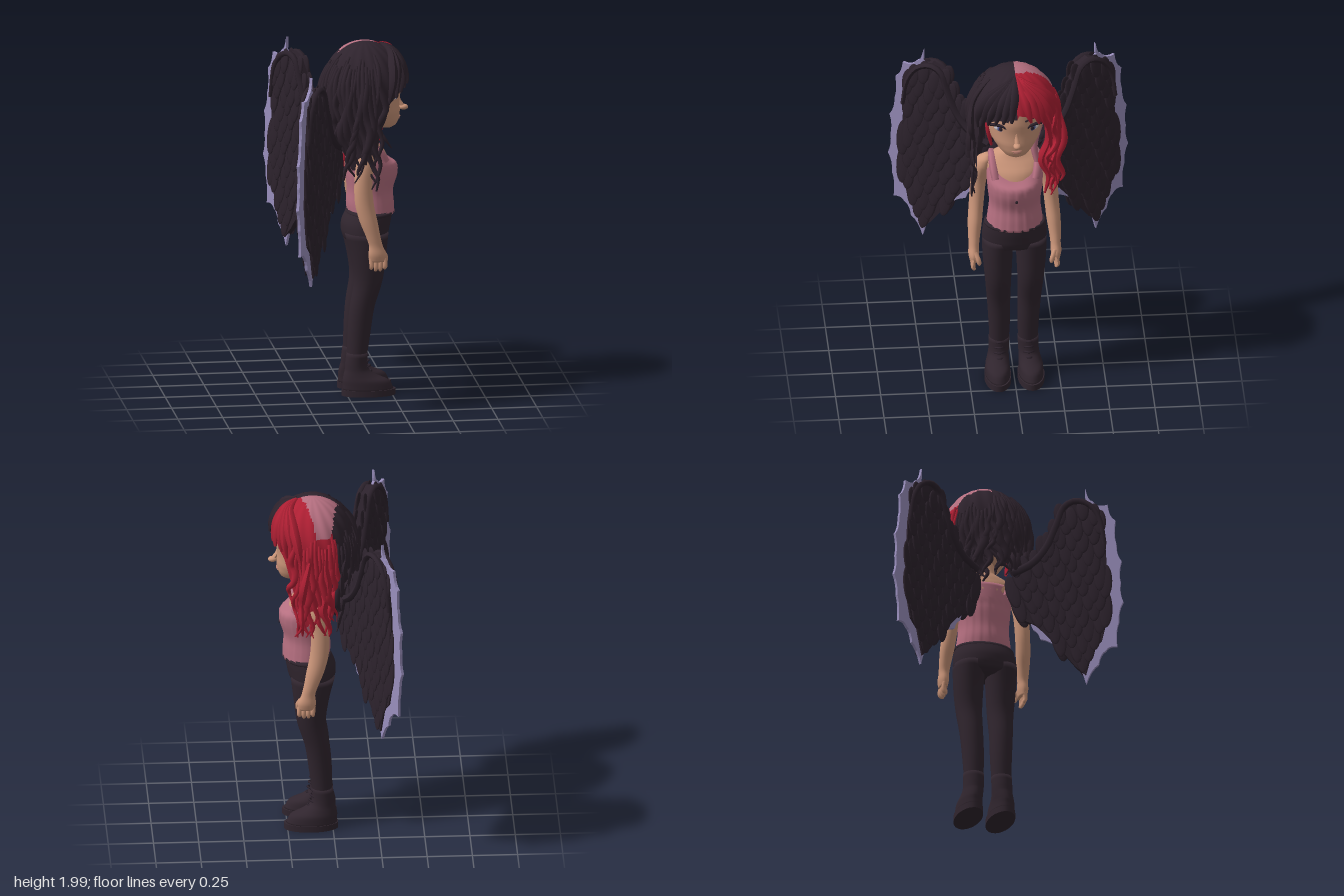
import * as THREE from 'three';
import { mergeGeometries } from 'three/addons/utils/BufferGeometryUtils.js';

const mat = (name, color, side = THREE.FrontSide) => {
  const m = new THREE.MeshStandardMaterial({ color, side });
  m.name = name;
  return m;
};
const V = (x, y, z) => new THREE.Vector3(x, y, z);
const rad = THREE.MathUtils.degToRad;

// Smooth closed tube of elliptical rings [y, cx, cz, rx, rz], listed upwards
function loft(rings, n = 24, sub = 4, rule) {
  const a = new THREE.CatmullRomCurve3(rings.map(r => V(r[0], r[1], r[2])));
  const b = new THREE.CatmullRomCurve3(rings.map(r => V(r[3], r[4], 0)));
  const rows = (rings.length - 1) * sub, pos = [], idx = [];
  for (let i = 0; i <= rows; i++) {
    const p = a.getPoint(i / rows), q = b.getPoint(i / rows);
    for (let j = 0; j < n; j++) {
      const t = j / n * Math.PI * 2;
      const v = V(p.y + q.x * Math.sin(t), p.x, p.z + q.y * Math.cos(t));
      if (rule) rule(v, i / rows, t);
      pos.push(v.x, v.y, v.z);
      const k = (j + 1) % n, A = i * n + j, B = i * n + k;
      if (i < rows) idx.push(A, B, A + n, B, B + n, A + n);
    }
  }
  const base = pos.length / 3, first = rings[0], last = rings[rings.length - 1];
  pos.push(first[1], first[0], first[2], last[1], last[0], last[2]);
  for (let j = 0; j < n; j++) {
    const k = (j + 1) % n;
    idx.push(base, k, j, base + 1, rows * n + j, rows * n + k);
  }
  return fromArrays(pos, idx);
}

function fromArrays(pos, idx) {
  const g = new THREE.BufferGeometry();
  g.setAttribute('position', new THREE.Float32BufferAttribute(pos, 3));
  g.setIndex(idx);
  g.computeVertexNormals();
  return g;
}

// Tube along points, its radius following a taper rule
function strand(pts, r, taper = t => 1, seg = 18, sides = 6) {
  const c = new THREE.CatmullRomCurve3(pts), g = new THREE.TubeGeometry(c, seg, r, sides);
  const p = g.attributes.position, v = V();
  for (let i = 0; i < p.count; i++) {
    const t = Math.floor(i / (sides + 1)) / seg, o = c.getPointAt(t);
    v.fromBufferAttribute(p, i).sub(o).multiplyScalar(taper(t)).add(o);
    p.setXYZ(i, v.x, v.y, v.z);
  }
  g.computeVertexNormals();
  return g;
}
const blob = (x, y, z, sx, sy, sz, ry = 0) =>
  new THREE.SphereGeometry(1, 18, 12).scale(sx, sy, sz).rotateY(ry).translate(x, y, z);
const finger = t => Math.sqrt(Math.max(.02, 1 - Math.pow(t, 6)));

// Hair: lower edge by angle from the front (degrees, height), and a point on the hair volume
const darkEdge = [[0, 1.78], [30, 1.765], [48, 1.73], [62, 1.67], [74, 1.5], [80, 1.3], [100, 1.27], [125, 1.36], [180, 1.5]];
const redEdge = [[0, 1.81], [30, 1.77], [46, 1.68], [58, 1.52], [66, 1.33], [95, 1.27], [125, 1.34], [180, 1.5]];
function hairEnd(a) {
  const d = Math.abs(a) * 180 / Math.PI, edge = a > 0 ? redEdge : darkEdge;
  let i = 1;
  while (i < edge.length - 1 && edge[i][0] < d) i++;
  const [d0, y0] = edge[i - 1], [d1, y1] = edge[i];
  return y0 + (y1 - y0) * (d - d0) / (d1 - d0) + (d > 60 ? 0.03 * Math.sin(a * 13) : 0);
}
function hairPoint(a, y, off = 0) {
  const h = (y - 1.72) / 0.272;
  let k = h > 0 ? Math.sqrt(Math.max(0, 1 - h * h)) : 1 - 0.14 * Math.min(1, (1.72 - y) / 0.4);
  k *= 1 + 0.02 * Math.sin(a * 17 + y * 14);
  return V((0.24 * k + off) * Math.sin(a), y + off * Math.max(0, h) * 0.8, 0.11 + (0.235 * k + off) * Math.cos(a));
}
// Material index on the hair: 0 dark, 1 red, 2 pink crown
function hairColour(x, y, z) {
  if (x < 0) return 0;
  if (y > 1.82 && z > -0.035 + 0.25 * x && z < 0.175 - 0.35 * x) return 2;
  return z < -0.03 + 0.2 * x ? 0 : 1;
}
function hairShell() {
  const n = 120, rows = 40, pos = [], buckets = [[], [], []];
  for (let i = 0; i <= rows; i++) for (let j = 0; j <= n; j++) {
    const a = rad(j * 3 - 180), t = i / rows, end = hairEnd(a);
    const stop = Math.acos(Math.max(0, (end - 1.72) / 0.272));
    const y = t < 0.5 ? 1.72 + 0.272 * Math.cos(stop * t * 2)
      : THREE.MathUtils.lerp(Math.max(1.72, end), end, t * 2 - 1);
    pos.push(...hairPoint(a, y).toArray());
  }
  for (let i = 0; i < rows; i++) for (let j = 0; j < n; j++) {
    const A = i * (n + 1) + j, B = A + n + 1;
    const mid = [0, 1, 2].map(c => (pos[A * 3 + c] + pos[B * 3 + 3 + c]) / 2);
    buckets[hairColour(...mid)].push(A, B, A + 1, A + 1, B, B + 1);
  }
  const g = fromArrays(pos, buckets.flat());
  let start = 0;
  buckets.forEach((b, i) => { g.addGroup(start, b.length, i); start += b.length; });
  return g;
}

// Wing outlines: distance along the wing, height
const featherEdge = [[.02, 1.45], [.13, 1.49], [.2, 1.57], [.25, 1.7], [.3, 1.81], [.37, 1.84], [.45, 1.81], [.51, 1.73], [.54, 1.55],
  [.555, 1.3], [.55, 1.1], [.52, .97], [.47, .92], [.43, .77], [.37, .83], [.31, .91], [.22, 1.02], [.15, 1.1], [.04, 1.16]];
const liningEdge = [[.1, 1.35], [.2, 1.55], [.28, 1.74], [.37, 1.82], [.43, 1.84], [.425, 1.91], [.465, 1.83], [.55, 1.8], [.595, 1.7],
  [.6, 1.56], [.63, 1.45], [.625, 1.32], [.64, 1.2], [.615, 1.08], [.605, .93], [.54, .91], [.5, .83], [.43, .72], [.39, .84], [.28, .95],
  [.17, 1.02], [.13, 1.08], [.06, 1.2]];
function inside(x, y, poly) {
  let r = false;
  poly.forEach(([ax, ay], i) => {
    const [bx, by] = poly[(i + 1) % poly.length];
    if ((ay > y) !== (by > y) && x < ax + (bx - ax) * (y - ay) / (by - ay)) r = !r;
  });
  return r;
}
// Flat plate whose edge dips between its points by the scallop amount
function plate(poly, s, depth, scallop) {
  const shape = new THREE.Shape().moveTo(s * poly[0][0], poly[0][1]);
  poly.forEach(([ax, ay], i) => {
    const [bx, by] = poly[(i + 1) % poly.length], mx = (ax + bx) / 2, my = (ay + by) / 2;
    shape.quadraticCurveTo(s * (mx + (.33 - mx) * scallop), my + (1.3 - my) * scallop, s * bx, by);
  });
  return new THREE.ExtrudeGeometry(shape, { depth, bevelEnabled: false, curveSegments: 4 }).translate(0, 0, -depth / 2);
}
function feathers(s) {
  const list = [];
  for (let row = 0; row < 14; row++) {
    const y = 0.77 + row * 0.077, len = 0.29 - row * 0.012, w = 0.088 - row * 0.0015;
    for (let c = 0; c < 9; c++) {
      const u = 0.05 + (c + (row % 2) / 2) * 0.062, low = y + 0.025 * Math.sin(c * 2.4 + row);
      if (!inside(u, y + 0.01, featherEdge) || !inside(u, y + 0.07, featherEdge)) continue;
      for (const f of [1, -1]) {
        list.push(new THREE.SphereGeometry(1, 8, 10).scale(w / 2, len / 2, 0.009).translate(0, len / 2, 0)
          .rotateX(-f * 0.1).rotateZ(s * (0.12 + (0.38 - u) * 0.5)).translate(u * s, low - 0.015, f * 0.032));
      }
    }
  }
  return mergeGeometries(list);
}

export function createModel() {
  const D = THREE.DoubleSide;
  const dark = mat('dark hair', 0x2e232d, D), red = mat('red hair', 0xae1f33, D), pink = mat('dusty pink', 0xb56f80, D);
  const skin = mat('skin', 0xcc967a), denim = mat('dark trousers', 0x30252e), plume = mat('dark feathers', 0x2c222c, D);
  const lilac = mat('lilac lining', 0x9a8fbd, D), iris = mat('blue iris', 0x4f568f);
  const white = mat('eye white', 0xd0c8cc), lip = mat('lips', 0xb67c6e);
  const body = new THREE.Group();
  const add = (name, geo, m, parent = body) => {
    const mesh = new THREE.Mesh(geo, m);
    mesh.name = name;
    parent.add(mesh);
  };

  // Torso and clothes
  add('chest', loft([[1.2, 0, .135, .135, .11], [1.3, 0, .125, .142, .118], [1.36, 0, .115, .155, .11], [1.41, 0, .1, .165, .085],
    [1.45, 0, .095, .11, .065], [1.48, 0, .1, .055, .055], [1.58, 0, .12, .048, .05]]), skin);
  add('tankTop', loft([[1.02, 0, .145, .157, .128], [1.08, 0, .14, .15, .13], [1.15, 0, .14, .142, .125], [1.24, 0, .148, .15, .142],
    [1.29, 0, .147, .154, .143], [1.34, 0, .128, .156, .124], [1.4, 0, .108, .152, .1]], 60, 4, (v, t, a) => {
    if (t < 0.7) v.z += 0.003 * Math.sin(a * 20);
    if (t > 0.7 && v.z > 0.1) v.y -= 0.055 * (t - 0.7) * 3.3 * Math.pow(Math.cos(a), 4);
  }), pink);
  add('shirtTie', blob(0, 1.225, .29, .008, .01, .006), dark);
  add('trouserHips', loft([[.86, 0, .11, .12, .08], [.88, 0, .11, .17, .118], [.92, 0, .112, .18, .132], [.97, 0, .118, .177, .136],
    [1.04, 0, .138, .163, .125]], 32), denim);
  add('waistband', new THREE.TorusGeometry(1, .05, 8, 40).rotateX(Math.PI / 2).scale(.163, .2, .127).translate(0, 1.025, .138), denim);

  for (const s of [1, -1]) {
    const side = s > 0 ? 'left' : 'right';
    add(side + 'Strap', strand([V(s * .11, 1.33, .215), V(s * .12, 1.38, .185), V(s * .125, 1.432, .11), V(s * .12, 1.4, .03),
      V(s * .1, 1.33, .02)], .022), pink);

    // Leg and laced boot
    add(side + 'Leg', loft([[.18, s * .08, .055, .052, .052], [.35, s * .08, .068, .06, .064], [.5, s * .085, .085, .065, .069],
      [.65, s * .09, .118, .073, .08], [.8, s * .093, .118, .083, .1], [.92, s * .091, .11, .088, .122]]), denim);
    add(side + 'Boot', loft([[.03, s * .092, .118, .07, .143], [.08, s * .092, .105, .067, .13], [.11, s * .088, .075, .061, .095],
      [.15, s * .083, .055, .057, .065], [.24, s * .08, .057, .058, .058]]), denim);
    add(side + 'Sole', new THREE.CylinderGeometry(1, 1, .035, 28).scale(.074, 1, .15).translate(s * .092, .0175, .12), denim);
    for (let i = 0; i < 4; i++) add(side + 'Lace', strand([V(s * .082 - .035, .125 + i * .03, .1 - i * .004),
      V(s * .082, .135 + i * .03, .137 - i * .007), V(s * .082 + .035, .125 + i * .03, .1 - i * .004)], .006), plume);

    // Arm, fingers and thumb
    add(side + 'Arm', loft([[.79, s * .228, .152, .022, .046], [.83, s * .228, .15, .03, .05], [.88, s * .226, .142, .029, .038],
      [.93, s * .224, .128, .033, .04], [1.02, s * .217, .102, .04, .05], [1.12, s * .208, .08, .041, .052], [1.25, s * .197, .077, .043, .05],
      [1.36, s * .18, .095, .047, .055], [1.41, s * .165, .1, .042, .045], [1.435, s * .15, .1, .015, .02]], 18), skin);
    for (let i = 0; i < 4; i++) {
      const z = .115 + i * .025, low = .725 + Math.abs(i - 1.5) * .012;
      add(side + 'Finger', strand([V(s * .23, .81, z), V(s * .234, .765, z + .003), V(s * .222, low, z)], .0135, finger), skin);
    }
    add(side + 'Thumb', strand([V(s * .222, .85, .18), V(s * .205, .81, .2), V(s * .197, .775, .2)], .014, finger), skin);

    // Eye, lashes and brow
    add(side + 'EyeWhite', blob(s * .09, 1.695, .266, .036, .02, .014, s * .4), white);
    add(side + 'Iris', blob(s * .088, 1.696, .274, .02, .02, .011, s * .4), iris);
    add(side + 'Pupil', blob(s * .088, 1.696, .282, .011, .012, .005, s * .4), dark);
    add(side + 'Lashes', strand([V(s * .048, 1.693, .289), V(s * .073, 1.714, .288), V(s * .105, 1.716, .273), V(s * .14, 1.702, .236)],
      .009), dark);
    add(side + 'Brow', strand([V(s * .045, 1.748, .303), V(s * .085, 1.76, .29), V(s * .13, 1.745, .25)], .006,
      t => 1 - t * .6), dark);

    // Swept-back feathered wing
    const wing = new THREE.Group();
    wing.name = side + 'Wing';
    wing.position.set(s * .1, 0, -.05);
    wing.rotation.y = s * .5;
    add('wingCore', plate(featherEdge, s, .036, 0), plume, wing);
    add('wingLining', plate(liningEdge, s, .016, .06), lilac, wing);
    add('wingFeathers', feathers(s), plume, wing);
    for (const f of [1, -1]) add('wingRidge', strand([[.02, 1.42], [.13, 1.47], [.21, 1.56], [.27, 1.7], [.31, 1.8], [.37, 1.83], [.45, 1.8],
      [.51, 1.71], [.54, 1.55]].map(([u, y]) => V(s * u, y, f * .03)), .025, t => 1 - .5 * t, 28), plume, wing);
    body.add(wing);

    // Fringe fanning out from the parting
    for (let i = 0; i < 6; i++) {
      const A = (s > 0 ? .3 : .12) + i * .17;
      add(side + 'FringeLock', strand([[.05, 1.975], [A * .45, 1.94], [A * .85, 1.87], [A * 1.02, 1.79], [A * 1.12, 1.765 - A * A * .09]]
        .map(([a, y]) => hairPoint(s * a, y, .004)), .03, t => .25 + .75 * Math.sin(Math.PI * t)), s > 0 ? red : dark);
    }
  }

  // Face
  add('head', loft([[1.498, 0, .23, .025, .03], [1.515, 0, .215, .065, .07], [1.55, 0, .18, .102, .122], [1.6, 0, .155, .136, .152],
    [1.66, 0, .14, .153, .165], [1.73, 0, .13, .158, .183], [1.82, 0, .12, .155, .185], [1.9, 0, .11, .11, .13], [1.94, 0, .11, .03, .03]], 36), skin);
  add('noseBridge', strand([V(0, 1.69, .296), V(0, 1.65, .302), V(0, 1.615, .322)], .014, t => .6 + .4 * t), skin);
  add('noseTip', blob(0, 1.608, .328, .021, .016, .026), skin);
  add('upperLip', blob(0, 1.56, .299, .03, .006, .011), lip);
  add('lowerLip', blob(0, 1.549, .295, .024, .007, .011), lip);

  // Hair volume with dark half, red half and pink crown
  add('hair', hairShell(), [dark, red, pink]);

  // Wavy hanging locks
  for (let i = 0; i < 46; i++) {
    const deg = 62 + i * 222 / 45, w = deg > 180 ? deg - 360 : deg, a = rad(w);
    const end = hairEnd(a) - .02 - .06 * Math.abs(Math.sin(i * 2.3));
    const top = (w < 0 ? 1.94 : 1.84) - .07 * Math.abs(Math.sin(i * 3.7));
    const forward = Math.abs(w) < 100 ? -Math.sign(a) * .1 : 0, pts = [];
    for (let k = 0; k <= 9; k++) {
      const t = k / 9;
      pts.push(hairPoint(a + forward * t * t + .14 * Math.sin(t * 13 + i * 1.7) * t, top + (end - top) * t,
        .002 + .038 * t * Math.abs(Math.sin(t * 7 + i))));
    }
    add('hairLock', strand(pts, .02 + .006 * Math.sin(i * 5.1), t => .15 + .85 * Math.sin(Math.PI * Math.min(1, .1 + t * .88)), 28),
      w > 0 && w < 122 ? red : dark);
  }
  // Front locks falling over the shoulder of the red side
  for (let i = 0; i < 4; i++) {
    const x = .165 + i * .028;
    add('shoulderLock', strand([V(x, 1.7, .18 - i * .015), V(x + .02, 1.55, .17), V(x - .02, 1.43, .18), V(x + .02, 1.33, .18),
      V(x, 1.21 + .025 * i, .17)], .024, t => .15 + .85 * Math.sin(Math.PI * (.12 + t * .86))), red);
  }
  // Contrasting locks beside the neck
  add('innerPinkLock', strand([V(.13, 1.64, .13), V(.105, 1.52, .16), V(.12, 1.42, .18)], .03, t => 1 - .5 * t), pink);
  for (const z of [.14, .165]) add('innerRedLock', strand([V(-.148, 1.69, z), V(-.148, 1.62, z + .005), V(-.13, 1.52, z - .015)], .018,
    t => 1 - .6 * t), red);

  // The figure faces along +x
  body.name = 'wingedFigure';
  body.rotation.y = Math.PI / 2;
  const model = new THREE.Group();
  model.name = 'model';
  model.add(body);
  return model;
}
